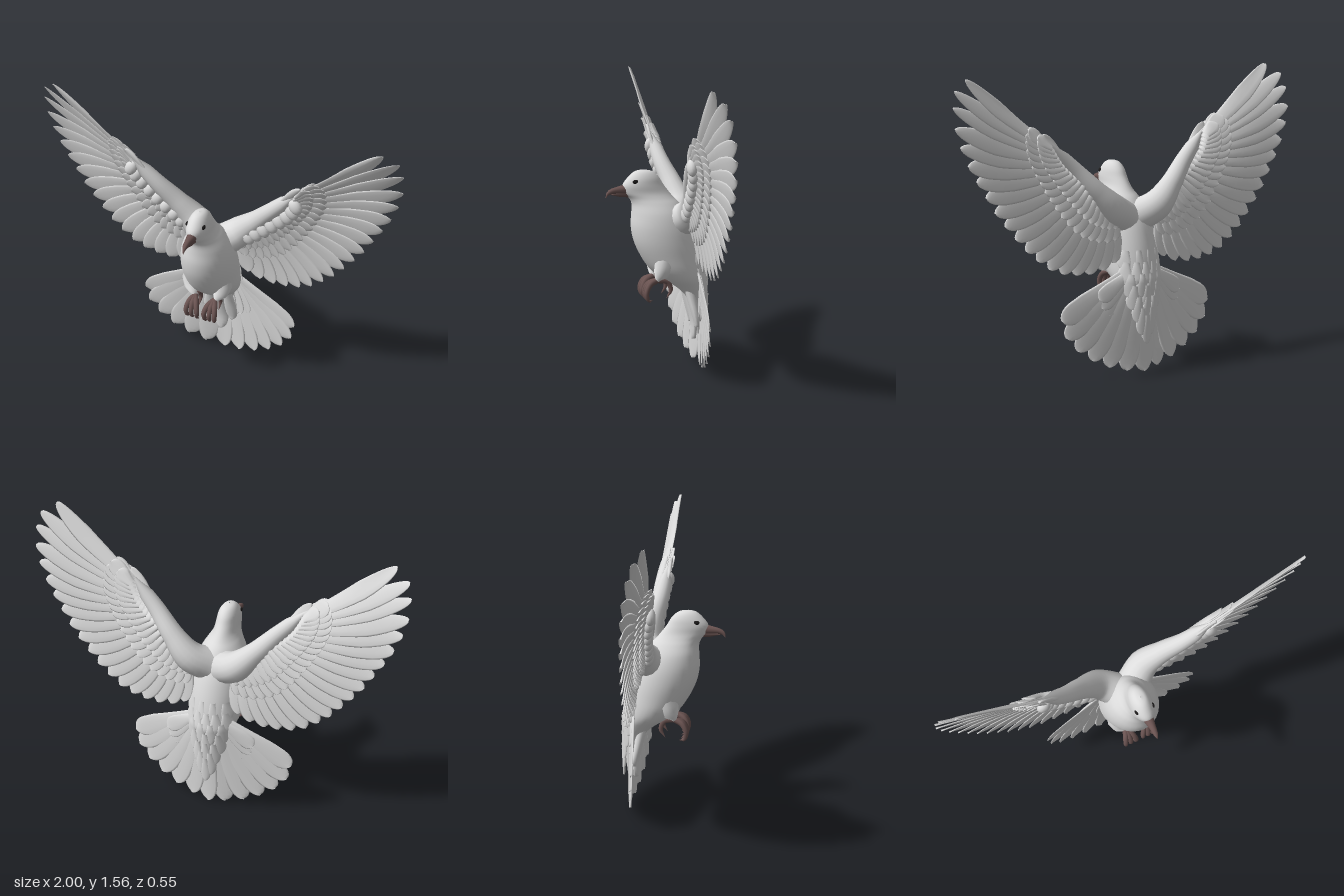
import * as THREE from 'three';
import { mergeGeometries } from 'three/addons/utils/BufferGeometryUtils.js';

const V = (x, y, z = 0) => new THREE.Vector3(x, y, z);
const mat = (name, color) => Object.assign(new THREE.MeshStandardMaterial({ color }), { name });

// Smooth skin over a list of closed rings (counter-clockwise about the travel direction)
function loft(rings) {
  const n = rings[0].length, pos = [], idx = [];
  rings.forEach(r => r.forEach(p => pos.push(p.x, p.y, p.z)));
  for (let i = 0; i < rings.length - 1; i++) {
    for (let j = 0; j < n; j++) {
      const a = i * n + j, b = i * n + (j + 1) % n;
      idx.push(a, b, a + n, b, b + n, a + n);
    }
  }
  const g = new THREE.BufferGeometry();
  g.setAttribute('position', new THREE.Float32BufferAttribute(pos, 3));
  g.setIndex(idx);
  g.computeVertexNormals();
  return g;
}

// Round limb whose radius follows a list of values
function limb(points, radii, segs = 20, sides = 12) {
  const curve = new THREE.CatmullRomCurve3(points);
  const g = new THREE.TubeGeometry(curve, segs, 1, sides);
  const p = g.attributes.position, v = V(0, 0);
  for (let i = 0; i < p.count; i++) {
    const u = Math.floor(i / (sides + 1)) / segs;
    const c = curve.getPointAt(u), f = u * (radii.length - 1), k = Math.min(Math.floor(f), radii.length - 2);
    const r = THREE.MathUtils.lerp(radii[k], radii[k + 1], f - k);
    v.fromBufferAttribute(p, i).sub(c).multiplyScalar(r).add(c);
    p.setXYZ(i, v.x, v.y, v.z);
  }
  return g;
}

// Lens-shaped feather from root to tip, draped on the surface z = zf(x, y)
function feather(root, tip, width, zf, { bend = 0, thick = 0.008, lift = 0, tilt = 0, round = 0.3 } = {}) {
  const rings = [], U = 12, K = 10;
  const perp = V(-(tip.y - root.y), tip.x - root.x);
  const mid = root.clone().add(tip).multiplyScalar(0.5).addScaledVector(perp, bend);
  const curve = new THREE.QuadraticBezierCurve3(root, mid, tip);
  for (let i = 0; i <= U; i++) {
    const u = Math.sin(i / U * Math.PI / 2), c = curve.getPoint(u), d = curve.getTangent(u);
    const k = Math.max(0, (u - 1 + round) / round);
    const h = width / 2 * (0.5 + 0.5 * Math.min(1, u / 0.6)) * Math.sqrt(Math.max(0, 1 - k * k));
    const th = thick * (1 - 0.6 * u) * (u > 0.999 ? 0 : 1);
    const ring = [];
    for (let j = 0; j < K; j++) {
      const a = j / K * Math.PI * 2, s = Math.cos(a);
      const x = c.x - d.y * s * h, y = c.y + d.x * s * h;
      ring.push(V(x, y, zf(x, y) + lift + Math.sin(a) * th + tilt * s));
    }
    rings.push(ring);
  }
  return loft(rings);
}

// Cupped wing surface, falling back from the leading edge
function wingZ(x, y) {
  x = Math.abs(x);
  const d = Math.max(0, (x - 0.48) * 0.58 - (y - 1.25) * 0.81);
  return -0.04 - 0.13 * (1 - Math.exp(-d / 0.22)) - 0.05 * (1 - x);
}
const tailZ = (x, y) => -0.235 + 0.1 * Math.abs(x);
const rumpZ = (x, y) => -0.262 + 0.25 * Math.max(0, y - 0.5) + 4 * x * x;

// Wing feather tips from the outermost primary to the body
const TIPS = [[0.905, 1.555], [0.98, 1.505], [1, 1.43], [1, 1.33], [0.98, 1.24], [0.945, 1.15], [0.905, 1.07],
  [0.86, 0.99], [0.815, 0.91], [0.765, 0.84], [0.71, 0.77], [0.655, 0.705], [0.595, 0.65], [0.53, 0.6],
  [0.46, 0.57], [0.385, 0.555], [0.31, 0.55], [0.23, 0.56], [0.16, 0.59]];
const ROOTS = new THREE.CatmullRomCurve3([V(0.47, 1.2), V(0.42, 1.11), V(0.33, 1.02), V(0.23, 0.93), V(0.14, 0.86)]);
// Tail tips from the centre outwards
const TAIL = [[0, 0], [0.1, 0.015], [0.2, 0.045], [0.29, 0.09], [0.37, 0.15], [0.43, 0.225], [0.45, 0.315]];

export function createModel() {
  const model = new THREE.Group();
  const white = mat('plumage white', 0xdcdcdc);
  const brown = mat('beak and feet brown', 0x6b5452);
  const dark = mat('eye black', 0x1c1a1a);
  const add = (parent, name, geo, material = white) => {
    const m = new THREE.Mesh(Array.isArray(geo) ? mergeGeometries(geo) : geo, material);
    m.name = name;
    parent.add(m);
    return m;
  };

  // Head and body: level slices of [y, front z, back z, half width]
  const slices = [[1.08, 0.085, 0.08, 0.002], [1.07, 0.125, 0.03, 0.03], [1.04, 0.16, -0.005, 0.05], [1, 0.188, -0.03, 0.059],
    [0.96, 0.18, -0.06, 0.063], [0.93, 0.153, -0.085, 0.074], [0.9, 0.14, -0.115, 0.092], [0.85, 0.14, -0.15, 0.12],
    [0.78, 0.143, -0.19, 0.14], [0.7, 0.128, -0.22, 0.148], [0.62, 0.092, -0.242, 0.147], [0.55, 0.045, -0.255, 0.143],
    [0.5, -0.01, -0.262, 0.13], [0.45, -0.09, -0.265, 0.1], [0.4, -0.145, -0.265, 0.075], [0.3, -0.18, -0.257, 0.05],
    [0.18, -0.215, -0.245, 0.015]];
  const depth = new THREE.CatmullRomCurve3(slices.map(s => V(s[0], s[1], s[2])));
  const girth = new THREE.CatmullRomCurve3(slices.map(s => V(s[3], s[0])));
  const rings = [];
  for (let i = 0; i <= 64; i++) {
    const d = depth.getPoint(i / 64), w = girth.getPoint(i / 64).x, ring = [];
    for (let j = 0; j < 32; j++) {
      const a = j / 32 * Math.PI * 2;
      ring.push(V(w * Math.cos(a), d.x, (d.y + d.z) / 2 + (d.y - d.z) / 2 * Math.sin(a)));
    }
    rings.push(ring);
  }
  add(model, 'body', loft(rings));

  // Beak: hooked upper half over a shorter lower half
  add(model, 'upperBeak', limb([V(0, 0.978, 0.15), V(0, 0.975, 0.2), V(0, 0.969, 0.245), V(0, 0.955, 0.268), V(0, 0.935, 0.277)],
    [0.03, 0.025, 0.018, 0.013, 0.001]), brown);
  add(model, 'lowerBeak', limb([V(0, 0.958, 0.15), V(0, 0.955, 0.2), V(0, 0.951, 0.25)], [0.024, 0.017, 0.001]), brown);

  // Short feathers layered over the rump
  const scales = [];
  [[0.62, 0.1, 4], [0.56, 0.105, 5], [0.5, 0.09, 4], [0.44, 0.075, 3], [0.38, 0.05, 3], [0.32, 0.03, 2], [0.28, 0, 1]].forEach(([y, w, n], r) => {
    for (let i = 0; i < n; i++) {
      const x = n > 1 ? w * (2 * i / (n - 1) - 1) : 0;
      scales.push(feather(V(x * 0.9, y + 0.03), V(x * 1.05, y - 0.075 - r * 0.008), 0.062, rumpZ,
        { thick: 0.012, lift: -0.003, round: 0.5 }));
    }
  });
  add(model, 'rumpFeathers', scales);

  // Tail fan, with shorter feathers beneath it
  const fan = [];
  TAIL.forEach(([x, y], i) => (i ? [1, -1] : [1]).forEach(s => {
    const opts = { thick: 0.009, lift: 0.004 * i, tilt: 0.006 * s, round: 0.22, bend: -0.02 * s * i / 6 };
    fan.push(feather(V(s * (0.01 + i * 0.016), 0.52), V(s * x, y), 0.118, tailZ, opts));
    fan.push(feather(V(s * (0.01 + i * 0.014), 0.52), V(s * x * 0.55, 0.5 + (y - 0.5) * 0.5), 0.085, tailZ,
      { ...opts, lift: 0.014 }));
  }));
  add(model, 'tailFeathers', fan);
  add(model, 'underTailFeathers', [[0, 0.15, 0.09], [0.07, 0.23, 0.075], [-0.07, 0.23, 0.075]].map(([x, y, w]) =>
    feather(V(x * 0.7, 0.46), V(x, y), w, (px, py) => -0.2 + 0.2 * Math.max(0, py - 0.25), { thick: 0.03 })));

  for (const s of [1, -1]) {
    const side = s > 0 ? 'left' : 'right';
    const wing = new THREE.Group();
    wing.name = side + 'Wing';
    model.add(wing);

    // Flight feathers and two layers of coverts on both faces
    const flight = [], coverts = [];
    TIPS.forEach(([x, y], i) => {
      const t = i / (TIPS.length - 1), r = ROOTS.getPoint(t);
      const root = V(s * r.x, r.y), tip = V(s * x, y);
      const opts = { bend: s * (-0.05 + 0.03 * t), tilt: 0.006 * s };
      flight.push(feather(root, tip, i < 3 ? 0.085 : 0.105, wingZ, { ...opts, thick: 0.01, round: i < 5 ? 0.45 : 0.28 }));
      const f = 0.27 + 0.3 * t;
      for (const face of [1, -1]) {
        coverts.push(feather(root, root.clone().lerp(tip, f), 0.075, wingZ, { ...opts, lift: face * 0.011, thick: 0.011 }));
        coverts.push(feather(root, root.clone().lerp(tip, f * 0.62), 0.065, wingZ,
          { ...opts, lift: face * 0.02, thick: 0.015, round: 0.4 }));
      }
    });
    add(wing, 'flightFeathers', flight);
    add(wing, 'covertFeathers', coverts);

    // Arm, with a small feather at the wrist
    add(wing, 'arm', limb([V(s * 0.04, 0.8, -0.1), V(s * 0.13, 0.86, -0.15), V(s * 0.23, 0.96, -0.135), V(s * 0.33, 1.07, -0.1),
      V(s * 0.42, 1.165, -0.08), V(s * 0.48, 1.23, -0.07)], [0.09, 0.08, 0.058, 0.047, 0.038, 0.002], 30, 16));
    add(wing, 'wristFeathers', [
      feather(V(s * 0.36, 1.11), V(s * 0.49, 1.262), 0.05, wingZ, { thick: 0.016, lift: 0.012 }),
      feather(V(s * 0.38, 1.1), V(s * 0.53, 1.22), 0.05, wingZ, { thick: 0.014, lift: 0.01 })]);
    // Lumpy small feathers along the front of the arm
    const lumps = [];
    for (let i = 0; i < 8; i++) {
      const r = ROOTS.getPoint(0.08 + i * 0.115);
      lumps.push(new THREE.SphereGeometry(1, 14, 10).scale(0.034, 0.045, 0.026).rotateZ(s * 0.5)
        .translate(s * (r.x + 0.012), r.y - 0.025, wingZ(r.x, r.y) + 0.03));
    }
    add(wing, 'armFeathers', lumps);

    // Eye
    add(model, side + 'Eye', new THREE.SphereGeometry(1, 16, 12).scale(0.008, 0.011, 0.016)
      .translate(s * 0.046, 1.022, 0.128), dark);

    // Leg with three front toes and one hind toe
    const leg = new THREE.Group();
    leg.name = side + 'Leg';
    model.add(leg);
    add(leg, 'thigh', limb([V(s * 0.085, 0.64, -0.03), V(s * 0.085, 0.56, -0.01), V(s * 0.07, 0.51, 0.01), V(s * 0.06, 0.485, 0.012)],
      [0.04, 0.058, 0.042, 0.002]));
    const toes = [-0.027, 0, 0.026].map((o, i) => limb([V(s * 0.056, 0.495, 0.015), V(s * (0.055 + o * 0.8), 0.475, 0.058),
      V(s * (0.053 + o * 1.2), 0.43, 0.078), V(s * (0.052 + o), 0.39, 0.065), V(s * (0.05 + o), 0.368 + 0.012 * i, 0.042)],
    [0.016, 0.016, 0.014, 0.012, 0.001], 16, 8));
    toes.push(limb([V(s * 0.056, 0.495, 0.01), V(s * 0.058, 0.485, -0.04), V(s * 0.058, 0.44, -0.058), V(s * 0.058, 0.395, -0.035)],
      [0.016, 0.014, 0.012, 0.001], 16, 8));
    add(leg, 'toes', toes, brown);
  }
  return model;
}
